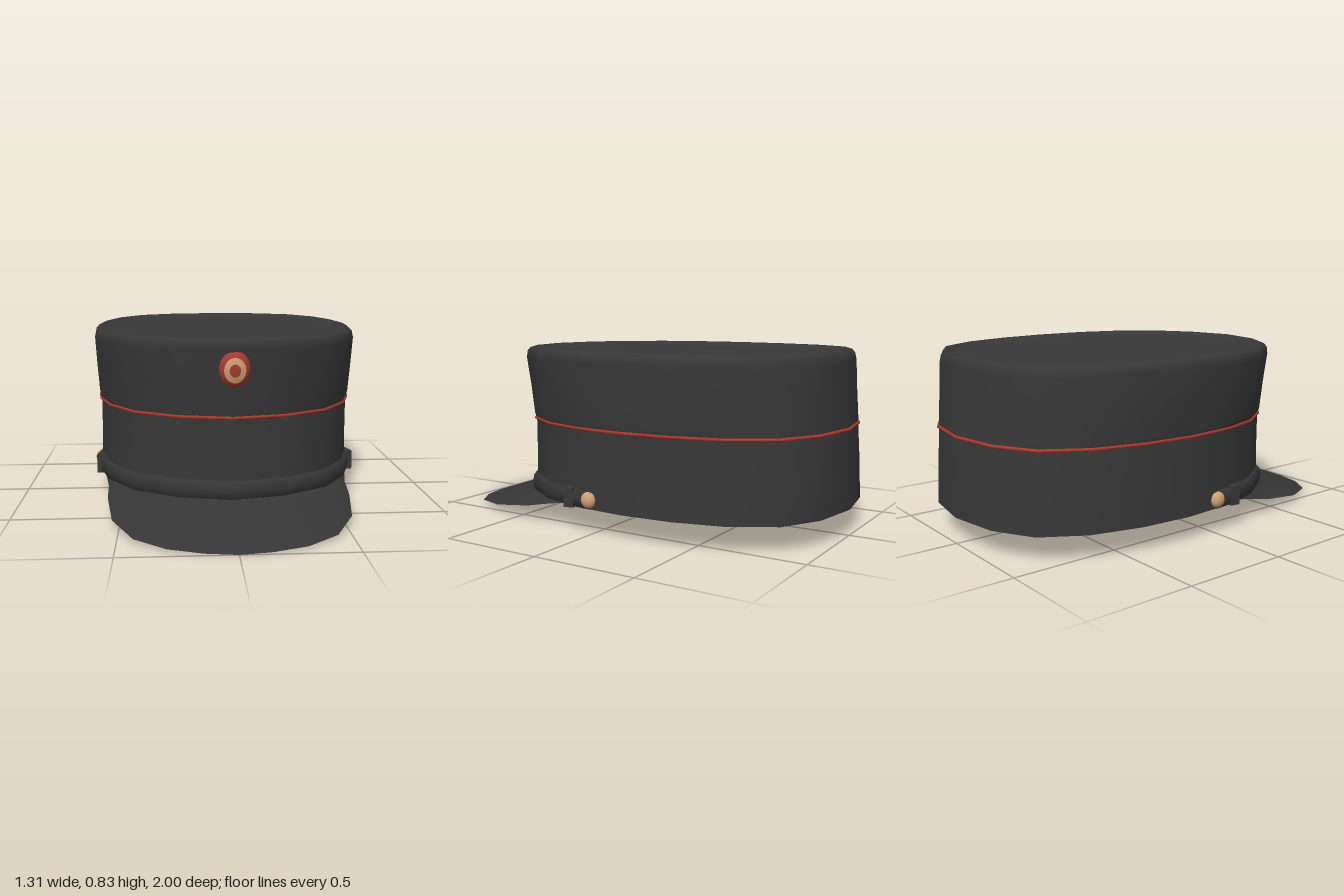
import * as THREE from 'three';

const mat = (name, color, side = THREE.FrontSide) => {
  const m = new THREE.MeshStandardMaterial({ color, side });
  m.name = name;
  return m;
};

// Half outline of the oval (x, z), from the front round to the back
const HALF = [
  [0, 0.67], [0.24, 0.615], [0.44, 0.49], [0.565, 0.3], [0.625, 0.1], [0.637, 0],
  [0.65, -0.17], [0.63, -0.42], [0.57, -0.66], [0.45, -0.855], [0.26, -0.96], [0, -1],
];
const OVAL = [...HALF, ...HALF.slice(1, -1).reverse().map(([x, z]) => [-x, z])];
const N = OVAL.length;

// Point i of an oval fitted to a height, half width, back and front
function ovalPoint(i, [y, w, back, front]) {
  const [x, z] = OVAL[((i % N) + N) % N];
  return [(x / 0.65) * w, y, back + ((z + 1) / 1.67) * (front - back)];
}

// Smooth surface through rows of points
function surface(rows, closed) {
  const n = rows[0].length;
  const index = [];
  for (let j = 0; j < rows.length - 1; j++) {
    for (let i = 0; i < (closed ? n : n - 1); i++) {
      const k = (i + 1) % n;
      const a = j * n + i, b = j * n + k, c = b + n, d = a + n;
      index.push(a, b, c, a, c, d);
    }
  }
  const g = new THREE.BufferGeometry();
  g.setAttribute('position', new THREE.Float32BufferAttribute(rows.flat(2), 3));
  g.setIndex(index);
  g.computeVertexNormals();
  return g;
}

// Surface through stacked ovals, all round or between two outline points
function loft(rings, from = 0, to = N - 1) {
  const rows = rings.map((r) => {
    const row = [];
    for (let i = from; i <= to; i++) row.push(ovalPoint(i, r));
    return row;
  });
  return surface(rows, to - from === N - 1);
}

export function createModel() {
  const group = new THREE.Group();
  const cloth = mat('charcoal cloth', 0x383838);
  const leather = mat('charcoal leather', 0x363636, THREE.DoubleSide);
  const red = mat('red', 0xa83a30);
  const tan = mat('tan brass', 0xd0a074);
  const add = (name, geometry, material, parent = group) => {
    const mesh = new THREE.Mesh(geometry, material);
    mesh.name = name;
    parent.add(mesh);
    return mesh;
  };

  // Lower band
  const bottom = [0.12, 0.635, -1, 0.645];
  const bottomInner = [0.12, 0.615, -0.98, 0.625];
  add('band', loft([bottom, [0.3, 0.63, -0.992, 0.638], [0.49, 0.629, -0.978, 0.637]]), cloth);
  add('bottomEdge', loft([bottomInner, bottom]), cloth);

  // Flared crown with rounded rim and slightly sunken top
  add('crown', loft([
    [0.485, 0.632, -0.98, 0.64], [0.51, 0.638, -0.977, 0.645], [0.65, 0.647, -0.965, 0.66],
    [0.78, 0.653, -0.957, 0.682], [0.812, 0.646, -0.95, 0.68], [0.829, 0.63, -0.937, 0.668],
    [0.825, 0.613, -0.922, 0.652], [0.812, 0.6, -0.91, 0.64],
    [0.81, 0.55, -0.86, 0.59], [0.81, 0, -0.13, -0.13],
  ]), cloth);

  // Inside wall and ceiling
  add('liningWall', loft([[0.79, 0.625, -0.935, 0.65], [0.485, 0.61, -0.96, 0.62], bottomInner]), cloth);
  add('liningTop', loft([[0.79, 0, -0.13, -0.13], [0.79, 0.625, -0.935, 0.65]]), cloth);

  // Red piping between band and crown
  const piping = [];
  for (let k = 0; k <= 6; k++) {
    const a = -Math.PI / 2 + (k / 6) * Math.PI * 2;
    const o = 0.008 * Math.cos(a);
    piping.push([0.483 + 0.008 * Math.sin(a), 0.632 + o, -0.98 - o, 0.64 + o]);
  }
  add('piping', loft(piping), red);

  // Strap across the front, side to side
  const strap = [[0, 0.118], [0.016, 0.124], [0.022, 0.16], [0.016, 0.196], [-0.005, 0.204]];
  add('strap', loft(strap.map(([o, y]) => [y, 0.633 + o, -1 - o, 0.643 + o]), -5, 5), leather);

  // Strap loops and buttons
  for (const s of [-1, 1]) {
    const slide = add(s > 0 ? 'leftStrapLoop' : 'rightStrapLoop', new THREE.BoxGeometry(0.044, 0.092, 0.048), cloth);
    slide.position.set(s * 0.61, 0.163, 0.115);
    slide.rotation.y = s * -0.18 * -1;
    const button = add(s > 0 ? 'leftButton' : 'rightButton', new THREE.SphereGeometry(1, 16, 12), tan);
    button.scale.set(0.025, 0.038, 0.038);
    button.position.set(s * 0.627, 0.163, 0);
  }

  // Visor: ruled between its drooping rim and the band
  const rim = [
    [-0.59, 0.12, 0.18], [-0.568, 0.095, 0.3], [-0.565, 0.07, 0.42], [-0.53, 0.038, 0.65],
    [-0.43, 0.018, 0.84], [-0.29, 0.008, 0.94], [-0.14, 0.003, 0.985], [0, 0, 1],
  ];
  const root = [
    [-0.58, 0.122, 0.17], [-0.565, 0.122, 0.24], [-0.54, 0.122, 0.32], [-0.44, 0.122, 0.465],
    [-0.34, 0.122, 0.53], [-0.23, 0.122, 0.595], [-0.11, 0.122, 0.625], [0, 0.122, 0.64],
  ];
  const mirrored = (half) => [...half, ...half.slice(0, -1).reverse().map(([x, y, z]) => [-x, y, z])];
  const outer = mirrored(rim), inner = mirrored(root);
  const visorRows = [0, 0.33, 0.67, 1].map((t) =>
    outer.map((p, i) => p.map((v, k) => v + (inner[i][k] - v) * t)));
  add('visor', surface(visorRows, false), leather);

  // Domed cockade in three rings
  const badge = new THREE.Group();
  badge.name = 'cockade';
  const dome = (pts) => new THREE.LatheGeometry(pts.map(([r, h]) => new THREE.Vector2(r, h)), 28);
  add('cockadeRim', dome([[0.066, -0.02], [0.068, 0.005], [0.062, 0.02], [0.047, 0.029]]), red, badge);
  add('cockadeRing', dome([[0.047, 0.029], [0.036, 0.033], [0.024, 0.036]]), tan, badge);
  add('cockadeCentre', dome([[0.024, 0.036], [0.012, 0.037], [0, 0.038]]), red, badge);
  badge.scale.set(1, 1, 1.18);
  badge.rotation.x = Math.PI / 2 + 0.1;
  badge.position.set(0.005, 0.7, 0.66);
  group.add(badge);

  return group;
}
